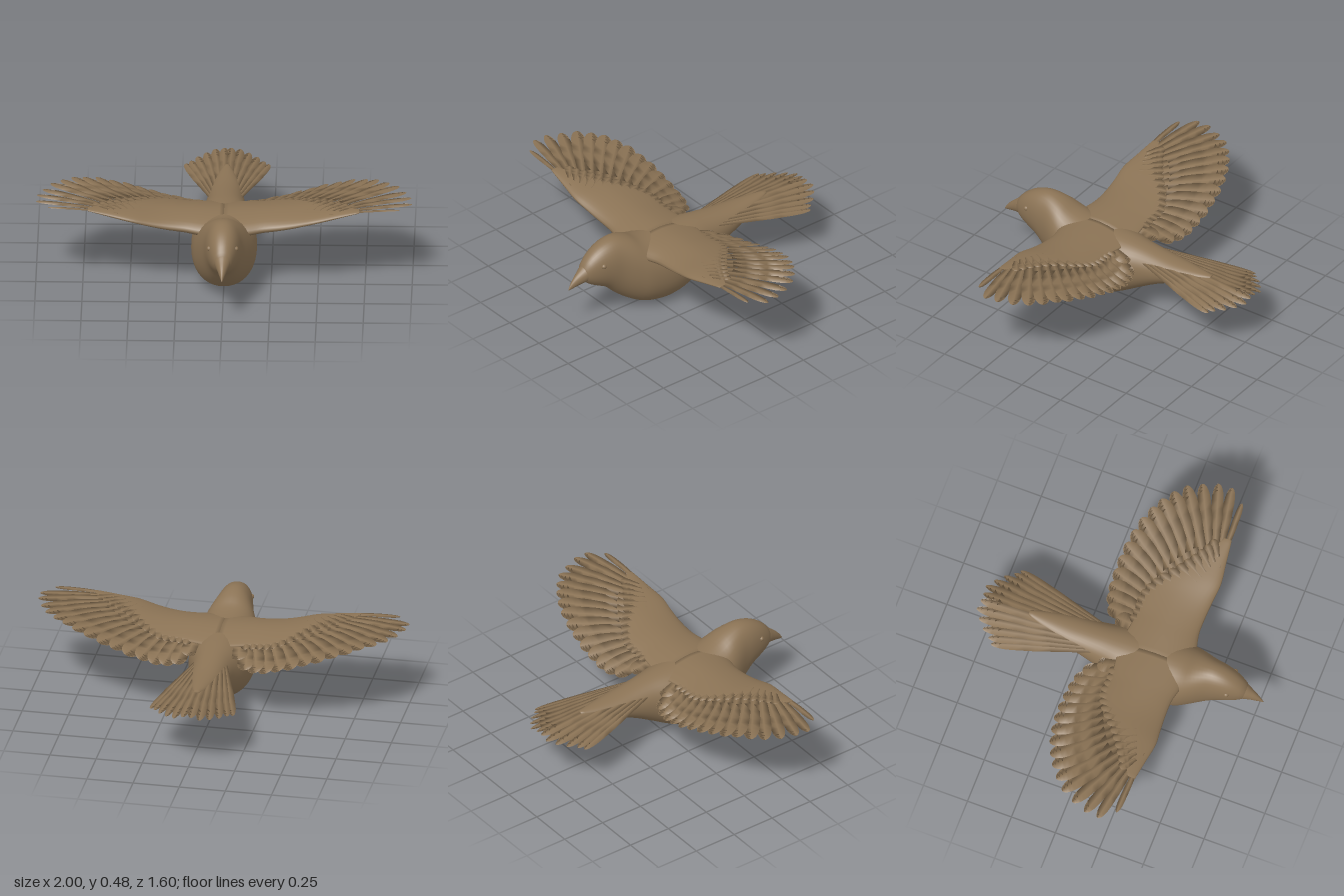
import * as THREE from 'three';

const V = (x, y, z) => new THREE.Vector3(x, y, z);
const { lerp, clamp } = THREE.MathUtils;

// Closed skin over a row of cross-section rings, turned outward whatever the ring order
function loft(rings) {
  const n = rings[0].length, pos = [], idx = [];
  rings.forEach(r => r.forEach(p => pos.push(p)));
  for (let i = 0; i < rings.length - 1; i++)
    for (let j = 0; j < n; j++) {
      const a = i * n + j, b = i * n + (j + 1) % n;
      idx.push(a, b, b + n, a, b + n, a + n);
    }
  const cap = (ring, start, flip) => {
    const c = pos.length;
    pos.push(ring.reduce((s, p) => s.add(p), V(0, 0, 0)).divideScalar(n));
    for (let j = 0; j < n; j++) {
      const a = start + j, b = start + (j + 1) % n;
      flip ? idx.push(c, b, a) : idx.push(c, a, b);
    }
  };
  cap(rings[0], 0, true);
  cap(rings[rings.length - 1], (rings.length - 1) * n, false);
  let volume = 0;
  for (let i = 0; i < idx.length; i += 3)
    volume += pos[idx[i]].dot(V(0, 0, 0).crossVectors(pos[idx[i + 1]], pos[idx[i + 2]]));
  if (volume < 0) idx.reverse();
  const g = new THREE.BufferGeometry().setFromPoints(pos);
  g.setIndex(idx);
  g.computeVertexNormals();
  return g;
}

// Smooth table lookup: the first column is the parameter
function table(rows) {
  const f = new THREE.CubicInterpolant(rows.map(r => r[0]), rows.flatMap(r => r.slice(1)), rows[0].length - 1);
  return t => Array.from(f.evaluate(t));
}

// Body rows: z, top y, bottom y, half width
const bodyAt = table([
  [-0.53, 0.345, 0.325, 0.015], [-0.45, 0.348, 0.287, 0.045], [-0.3, 0.355, 0.225, 0.085],
  [-0.2, 0.365, 0.178, 0.1], [-0.1, 0.378, 0.12, 0.118], [0, 0.39, 0.062, 0.148],
  [0.1, 0.397, 0.018, 0.168], [0.2, 0.402, 0.002, 0.175], [0.3, 0.412, 0.014, 0.17],
  [0.36, 0.428, 0.034, 0.16], [0.42, 0.458, 0.068, 0.138], [0.5, 0.479, 0.13, 0.105],
  [0.56, 0.472, 0.188, 0.091], [0.62, 0.447, 0.222, 0.076], [0.67, 0.41, 0.25, 0.057],
  [0.7, 0.375, 0.277, 0.04], [0.715, 0.345, 0.295, 0.022],
]);

// Beak rows: z, top y, bottom y, half width
const beakAt = table([
  [0.66, 0.39, 0.27, 0.05], [0.7, 0.368, 0.272, 0.041], [0.73, 0.343, 0.268, 0.029],
  [0.76, 0.316, 0.262, 0.018], [0.785, 0.286, 0.256, 0.008], [0.8, 0.262, 0.255, 0.002],
]);

function tubeAlongZ(at, z0, z1, steps, sides, power) {
  const rings = [];
  for (let i = 0; i <= steps; i++) {
    const z = lerp(z0, z1, i / steps), [top, bottom, w] = at(z), ring = [];
    const soft = v => Math.sign(v) * Math.abs(v) ** power;
    for (let j = 0; j < sides; j++) {
      const a = j / sides * Math.PI * 2;
      ring.push(V(w * soft(Math.cos(a)), (top + bottom) / 2 + (top - bottom) / 2 * soft(Math.sin(a)), z));
    }
    rings.push(ring);
  }
  return loft(rings);
}

// Height of the wing sheet: rises outward, droops toward the inner trailing edge
const crestAt = table([[0, 0.395], [0.2, 0.4], [0.35, 0.41], [0.5, 0.432], [0.75, 0.459], [1, 0.467]]);
const wingY = (x, z) => crestAt(x)[0]
  - 0.1 * clamp((0.85 - x) / 0.65, 0, 1) * Math.max(0, (0.2 - z) / 0.38) ** 1.5;
const tailY = (x, z) => 0.352 - 0.033 * (-0.2 - z) / 0.6 - Math.abs(x) * 0.1;

// Lens-shaped blade with a rounded tip lying on a height function
function feather(root, tip, halfWidth, surface, lift, tilt, side) {
  const [x0, z0] = root, [x1, z1] = tip, len = Math.hypot(x1 - x0, z1 - z0);
  const ax = -(z1 - z0) / len, az = (x1 - x0) / len, rings = [];
  const stops = [0, 0.15, 0.3, 0.45, 0.6, 0.7, 0.8, 0.87, 0.92, 0.96, 0.985, 0.998];
  for (const s of stops) {
    const round = s > 0.8 ? Math.sqrt(1 - ((s - 0.8) / 0.2) ** 2) : 1;
    const w = halfWidth * Math.min(1, 0.45 + 0.9 * s) * round;
    const point = (across, up) => {
      const x = lerp(x0, x1, s) + ax * across, z = lerp(z0, z1, s) + az * across;
      return V(side * x, surface(x, z) + lift + tilt * across + up, z);
    };
    rings.push([point(-w, 0), point(0, 0.004 * round), point(w, 0), point(0, -0.003 * round)]);
  }
  return loft(rings);
}

// Arm rows: x, leading z, trailing z, thickness
const armAt = table([
  [0, 0.39, -0.02, 0.1], [0.12, 0.375, 0, 0.115], [0.2, 0.358, 0.01, 0.105], [0.3, 0.358, 0.01, 0.092],
  [0.4, 0.366, 0.07, 0.072], [0.48, 0.374, 0.145, 0.055], [0.6, 0.36, 0.235, 0.036], [0.72, 0.345, 0.305, 0.012],
]);

function armGeometry(side) {
  const rings = [];
  for (let i = 0; i <= 30; i++) {
    const x = 0.72 * i / 30, [lead, trail, t] = armAt(x), ring = [];
    for (let j = 0; j < 28; j++) {
      const a = j / 28 * Math.PI * 2, u = (1 - Math.cos(a)) / 2, z = lerp(lead, trail, u);
      ring.push(V(side * x, wingY(x, z) + 0.008 - t * 0.5 * (1 - u) + t * 0.5 * Math.sin(a) * (1 - 0.7 * u), z));
    }
    rings.push(ring);
  }
  return loft(rings);
}

// Flight feather tips (x, z) from the wing's leading finger to the body
const tips = [
  [0.935, 0.322], [1, 0.24], [0.995, 0.165], [0.965, 0.085], [0.925, 0.01], [0.87, -0.045], [0.81, -0.09],
  [0.75, -0.125], [0.68, -0.155], [0.605, -0.175], [0.53, -0.188], [0.455, -0.195], [0.38, -0.195],
  [0.31, -0.192], [0.25, -0.182], [0.19, -0.155], [0.14, -0.09],
];
const rootAt = table([[0, 0.56, 0.335], [0.25, 0.52, 0.28], [0.5, 0.41, 0.18], [0.75, 0.28, 0.11], [1, 0.11, 0.1]]);

export function createModel() {
  const model = new THREE.Group();
  const plumage = new THREE.MeshStandardMaterial({ color: 0x8b7355 });
  plumage.name = 'brown plumage';
  const add = (parent, name, geometry) => {
    const m = new THREE.Mesh(geometry, plumage);
    m.name = name;
    parent.add(m);
    return m;
  };

  // Body, head and beak
  add(model, 'body', tubeAlongZ(bodyAt, -0.53, 0.715, 64, 40, 0.93));
  add(model, 'beak', tubeAlongZ(beakAt, 0.66, 0.8, 16, 20, 1));

  for (const side of [1, -1]) {
    const label = side > 0 ? 'left' : 'right';
    const eye = add(model, label + 'Eye', new THREE.SphereGeometry(0.014, 16, 12));
    eye.position.set(side * 0.07, 0.368, 0.615);

    // Wing: padded arm, flight feathers and a row of coverts
    const wing = new THREE.Group();
    wing.name = label + 'Wing';
    model.add(wing);
    add(wing, 'wingArm', armGeometry(side));
    tips.forEach((tip, i) => {
      const t = i / (tips.length - 1);
      const w = i === 0 ? 0.017 : lerp(0.025, 0.046, Math.min(1, i / 6));
      add(wing, 'flightFeather', feather(rootAt(t), tip, w, wingY, 0.002 - 0.003 * (i % 2), 0.1, side));
    });
    for (let i = 0; i < 15; i++) {
      const x = lerp(0.16, 0.66, i / 14), [lead, trail] = armAt(x);
      const out = 0.03 * i / 14;
      add(wing, 'covertFeather', feather([x - 0.02 - out, lerp(trail, lead, 0.45)], [x + out, trail - 0.025],
        0.026, wingY, 0.009, 0.08, side));
    }

    // Half of the tail fan, outer feathers tucked lower
    const tail = new THREE.Group();
    tail.name = label + 'TailHalf';
    model.add(tail);
    [[0.02, -0.8], [0.068, -0.805], [0.115, -0.775], [0.16, -0.735], [0.195, -0.69], [0.222, -0.665]]
      .forEach((tip, i) => add(tail, 'tailFeather',
        feather([0.01 + 0.011 * i, -0.1], tip, 0.03 - 0.001 * i, tailY, -0.004 * i, -0.08, side)));
  }
  return model;
}
